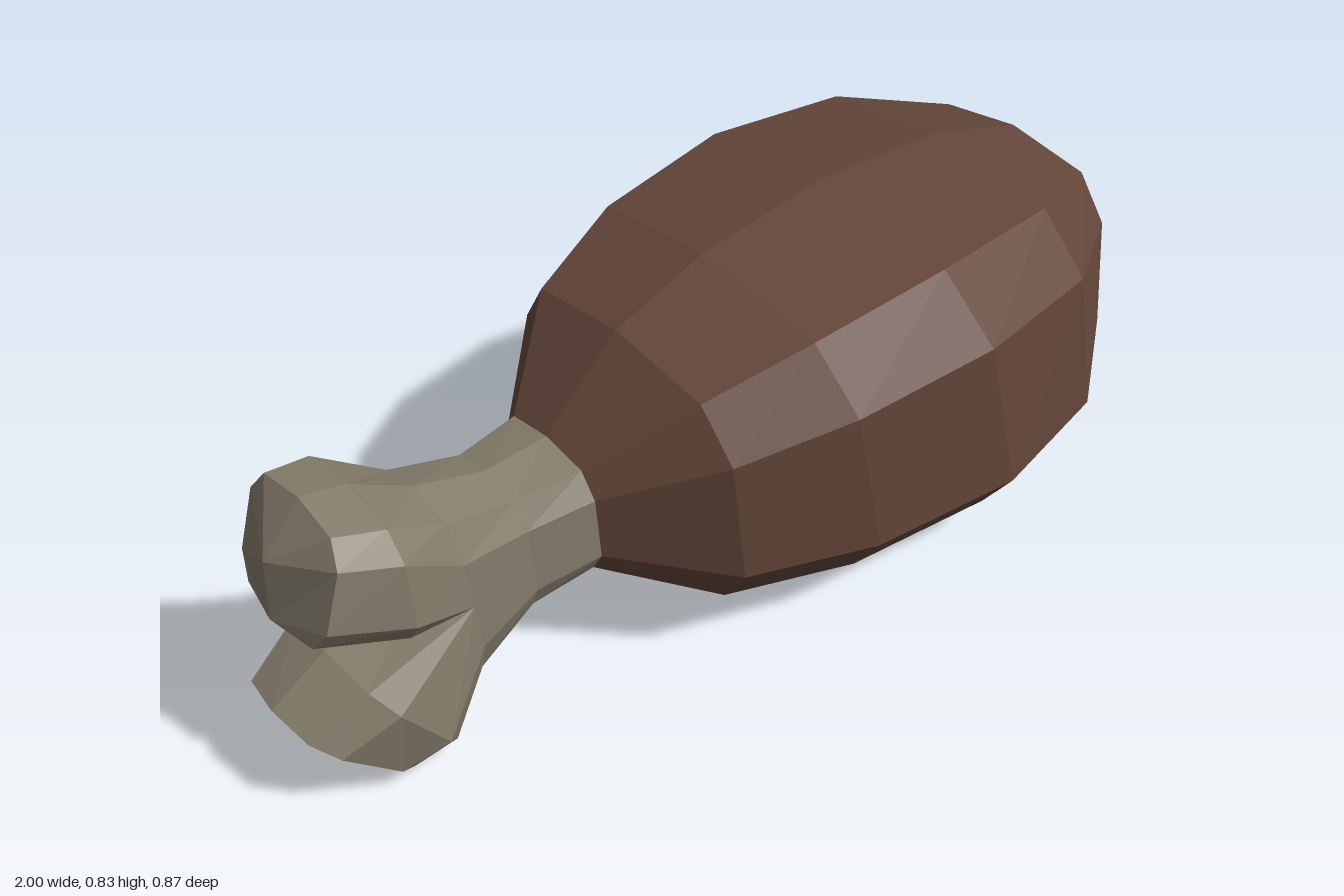
import * as THREE from 'three';

// Half outline of a cross-section: [fraction from top to bottom, fraction of half width]
const PROFILE = [[0, 0], [0.06, 0.76], [0.25, 1], [0.75, 1], [0.94, 0.76], [1, 0]];

// Half ring spanned between a top and a bottom point on the centre plane
const half = (tx, ty, bx, by, w) => PROFILE.map(([t, s]) =>
  new THREE.Vector3(tx + (bx - tx) * t, ty + (by - ty) * t, w * s));

// Closing half ring: collapses onto one or two points of the centre plane
const cap = (ax, ay, bx, by) => PROFILE.map((_, i) =>
  i < 3 ? new THREE.Vector3(ax, ay, 0) : new THREE.Vector3(bx, by, 0));

// Skin over half rings listed towards +x, mirrored across z
function loft(name, halves, material) {
  const rings = halves.map(h => [
    ...h, ...h.slice(1, -1).reverse().map(p => new THREE.Vector3(p.x, p.y, -p.z))]);
  const pos = [];
  const tri = (a, b, c) => {
    const area = b.clone().sub(a).cross(c.clone().sub(a)).length();
    if (area > 1e-7) for (const p of [a, b, c]) pos.push(p.x, p.y, p.z);
  };
  for (let i = 0; i < rings.length - 1; i++) {
    const r = rings[i], s = rings[i + 1], n = r.length;
    for (let j = 0; j < n; j++) {
      const k = (j + 1) % n;
      tri(r[j], r[k], s[j]);
      tri(r[k], s[k], s[j]);
    }
  }
  const geometry = new THREE.BufferGeometry();
  geometry.setAttribute('position', new THREE.Float32BufferAttribute(pos, 3));
  geometry.computeVertexNormals();
  const mesh = new THREE.Mesh(geometry, material);
  mesh.name = name;
  return mesh;
}

export function createModel() {
  const meat = new THREE.MeshStandardMaterial({ color: 0x64463a, flatShading: true });
  meat.name = 'roasted brown';
  const bone = new THREE.MeshStandardMaterial({ color: 0x857d6c, flatShading: true });
  bone.name = 'bone grey';

  const group = new THREE.Group();
  group.name = 'drumstick';

  // Meat: slanted rings from the neck to the blunt end
  const neck = half(-0.37, 0.54, -0.35, 0.255, 0.14);
  group.add(loft('meat', [
    neck,
    half(-0.20, 0.705, -0.13, 0.13, 0.318),
    half(0.01, 0.785, 0.17, 0.077, 0.402),
    half(0.31, 0.832, 0.53, 0.065, 0.437),
    half(0.63, 0.82, 0.79, 0.125, 0.393),
    half(0.88, 0.75, 0.955, 0.222, 0.252),
    cap(0.97, 0.635, 1.0, 0.345),
  ], meat));

  // Bone shaft
  const fork = half(-0.66, 0.575, -0.61, 0.14, 0.128);
  group.add(loft('boneShaft', [fork, half(-0.51, 0.53, -0.48, 0.225, 0.115), neck], bone));

  // Two knuckles share the fork ring, split at its middle
  const [p0, p1, p2, p3, p4, p5] = fork;
  const side = p2.clone().lerp(p3, 0.5);
  const crotch = new THREE.Vector3(-0.69, 0.35, 0);
  group.add(loft('upperKnuckle', [
    cap(-0.963, 0.57, -0.97, 0.44),
    half(-0.88, 0.67, -0.955, 0.425, 0.145),
    half(-0.79, 0.65, -0.77, 0.347, 0.168),
    [p0, p1, p2, side, side, crotch],
  ], bone));
  group.add(loft('lowerKnuckle', [
    cap(-0.91, 0.10, -0.91, 0.10),
    half(-1.0, 0.23, -0.77, 0.002, 0.135),
    half(-0.88, 0.305, -0.69, 0.04, 0.17),
    [crotch, side, side, p3, p4, p5],
  ], bone));

  return group;
}
